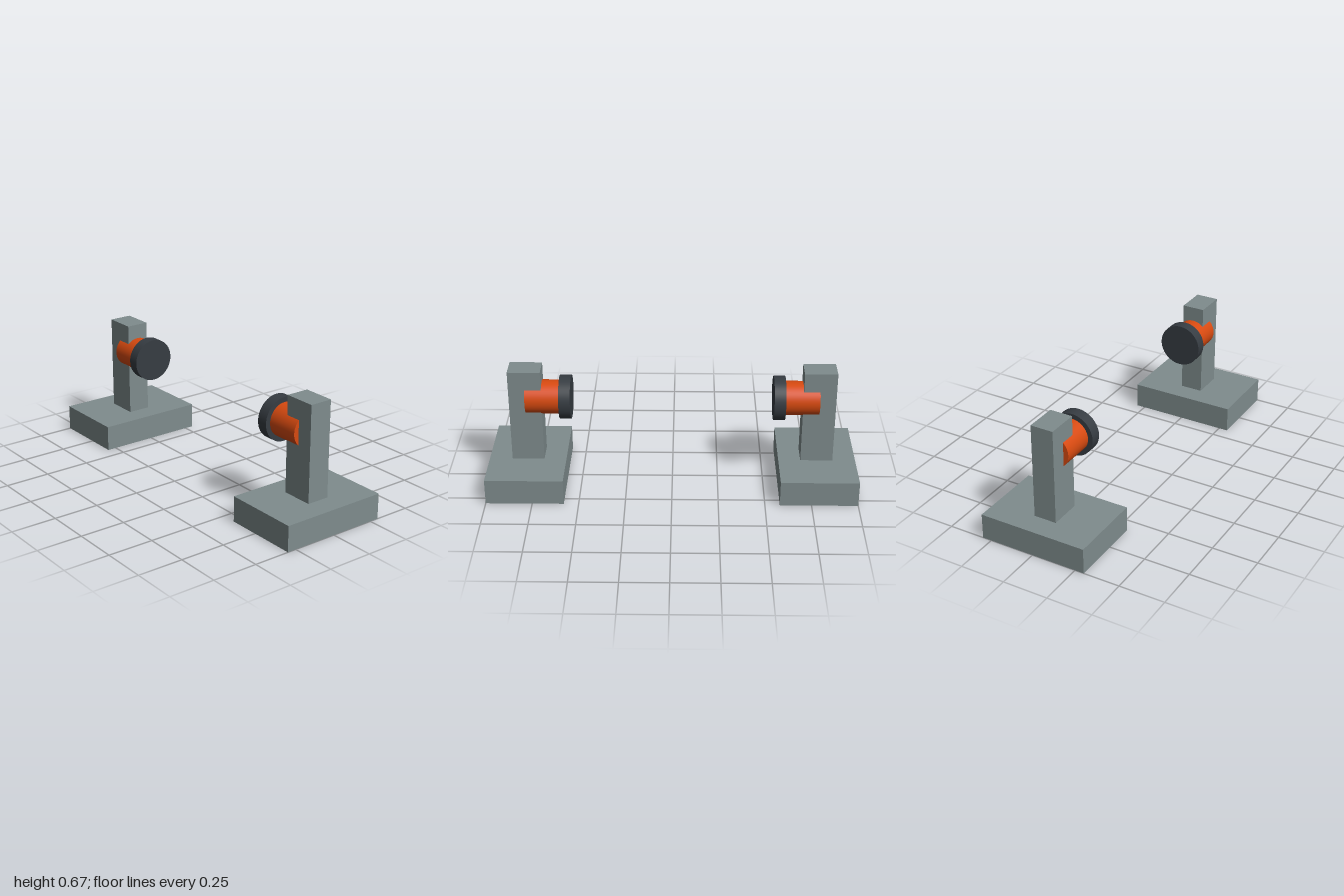
import * as THREE from 'three';

const mat = (name, color) => Object.assign(new THREE.MeshStandardMaterial({ color }), { name });

function part(name, geometry, material, y, z) {
  const mesh = new THREE.Mesh(geometry, material);
  mesh.name = name;
  mesh.position.set(0, y, z);
  return mesh;
}

export function createModel() {
  const grey = mat('steel grey', 0x7f8c8d);
  const orange = mat('orange', 0xd84a10);
  const dark = mat('dark rubber', 0x363c42);

  // Horizontal cylinder along z
  const rod = (radius, length) =>
    new THREE.CylinderGeometry(radius, radius, length, 48).rotateX(Math.PI / 2);

  // One buffer stop, its pad facing the centre
  function bufferStop(name) {
    const stop = new THREE.Group();
    stop.name = name;
    stop.add(
      part('base', new THREE.BoxGeometry(0.6, 0.141, 0.42), grey, 0.0705, 0.79),
      part('post', new THREE.BoxGeometry(0.126, 0.526, 0.175), grey, 0.404, 0.788),
      part('plunger', rod(0.092, 0.184), orange, 0.494, 0.696),
      part('bufferPad', rod(0.119, 0.062), dark, 0.494, 0.574),
    );
    return stop;
  }

  // Two stops facing each other
  const model = new THREE.Group();
  model.name = 'bufferStops';
  const front = bufferStop('frontStop');
  const back = bufferStop('backStop');
  back.rotation.y = Math.PI;
  model.add(front, back);
  return model;
}
